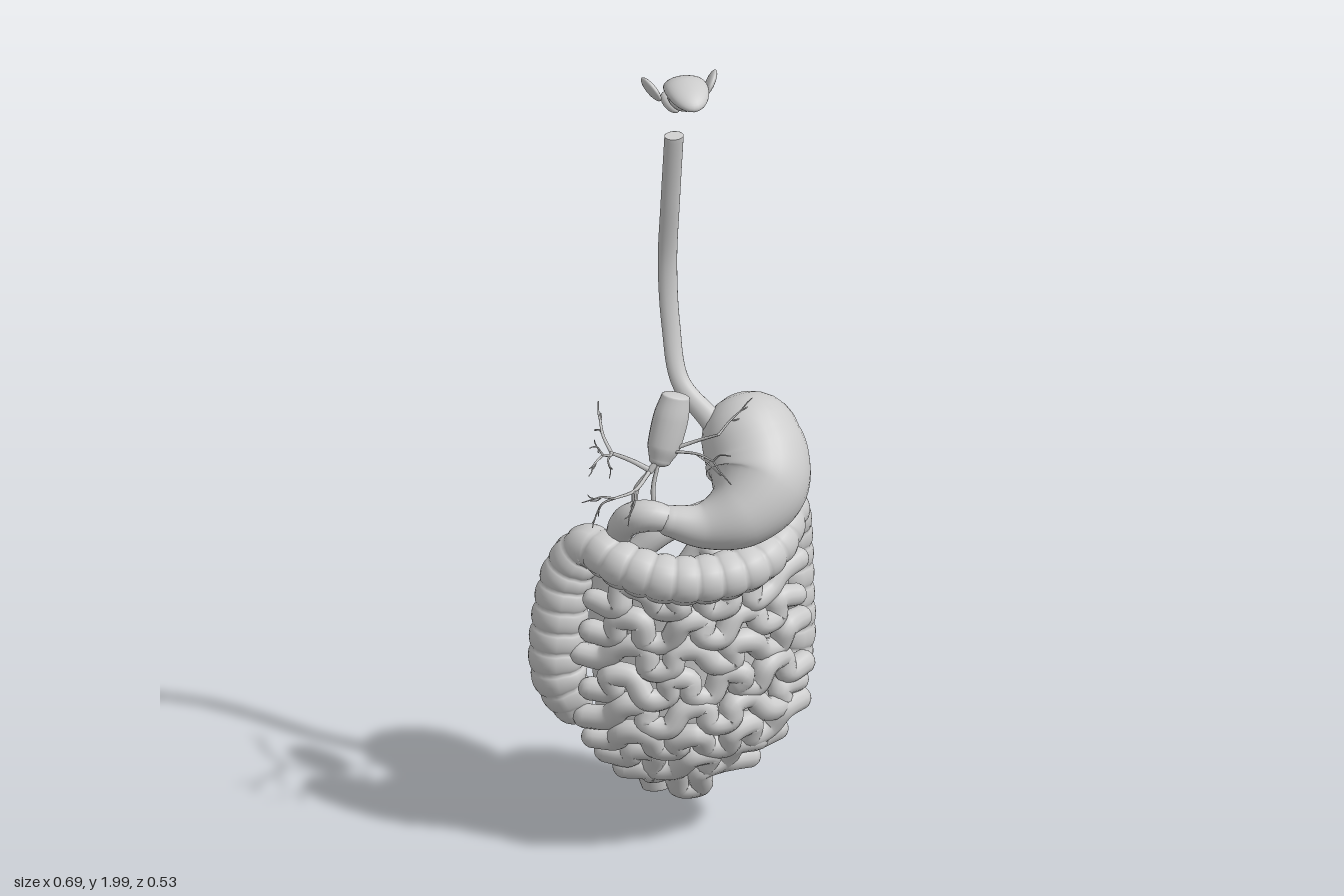
import * as THREE from 'three';

const material = new THREE.MeshStandardMaterial({ color: 0xcccccc });
const sheetMaterial = new THREE.MeshStandardMaterial({ color: 0xcccccc, side: THREE.DoubleSide });
const V = (x, y, z) => new THREE.Vector3(x, y, z);

let seed = 7;
const random = () => (seed = (seed * 16807) % 2147483647) / 2147483647;
const jitter = (a) => (random() * 2 - 1) * a;

function addMesh(parent, name, geometry, mat = material) {
  const mesh = new THREE.Mesh(geometry, mat);
  mesh.name = name;
  parent.add(mesh);
  return mesh;
}

// Tube through points [x, y, z, radius]; ends bulge by capStart / capEnd (0 flat, 1 round)
function organTube(points, { rings = 60, sides = 16, shape = () => 1, flat = 1, capStart = 1, capEnd = 1 } = {}) {
  const curve = new THREE.CatmullRomCurve3(points.map((p) => V(p[0], p[1], p[2])));
  curve.arcLengthDivisions = 600;
  const radii = new THREE.CatmullRomCurve3(points.map((p) => V(p[3], 0, 0)), false, 'catmullrom');
  const positions = [], index = [];
  let normal = null, count = 0;
  const addRing = (u, shift, scale) => {
    const t = curve.getUtoTmapping(u);
    const tangent = curve.getTangent(t);
    if (!normal) normal = Math.abs(tangent.z) < 0.9 ? V(0, 0, 1) : V(0, 1, 0);
    normal.addScaledVector(tangent, -normal.dot(tangent)).normalize();
    const binormal = tangent.clone().cross(normal);
    const r = radii.getPoint(t).x;
    const centre = curve.getPoint(t).addScaledVector(tangent, shift * r);
    for (let j = 0; j < sides; j++) {
      const a = (j / sides) * Math.PI * 2;
      const rr = r * scale * shape(u, a);
      const o = normal.clone().multiplyScalar(Math.cos(a) * rr).addScaledVector(binormal, Math.sin(a) * rr);
      positions.push(centre.x + o.x, centre.y + o.y, centre.z + o.z * flat);
    }
    count++;
  };
  const steps = 6;
  for (let k = steps; k > 0; k--) {
    const a = (k / steps) * Math.PI / 2;
    addRing(0, -Math.sin(a) * capStart, Math.cos(a));
  }
  for (let i = 0; i <= rings; i++) addRing(i / rings, 0, 1);
  for (let k = 1; k <= steps; k++) {
    const a = (k / steps) * Math.PI / 2;
    addRing(1, Math.sin(a) * capEnd, Math.cos(a));
  }
  for (let i = 0; i < count - 1; i++) {
    for (let j = 0; j < sides; j++) {
      const a = i * sides + j, b = i * sides + ((j + 1) % sides);
      index.push(a, b, a + sides, b, b + sides, a + sides);
    }
  }
  const g = new THREE.BufferGeometry();
  g.setAttribute('position', new THREE.Float32BufferAttribute(positions, 3));
  g.setIndex(index);
  g.computeVertexNormals();
  return g;
}

// Depth of the bowed front on which the small intestine lies
const frontDepth = (x, y) => 0.192 - 0.1 * ((x - 0.03) / 0.24) ** 2 - 0.6 * Math.max(0, 0.34 - y);

function buildMouth() {
  const mouth = new THREE.Group();
  mouth.name = 'mouth';
  const ellipsoid = (name, size, position, rotation = [0, 0, 0]) => {
    const mesh = addMesh(mouth, name, new THREE.SphereGeometry(1, 20, 14).scale(...size));
    mesh.position.set(...position);
    mesh.rotation.set(...rotation);
  };
  // Tongue: an ellipsoid bent down toward the back
  const tongue = new THREE.SphereGeometry(1, 32, 20).scale(0.051, 0.027, 0.084);
  const p = tongue.attributes.position;
  for (let i = 0; i < p.count; i++) {
    const z = p.getZ(i);
    p.setY(i, p.getY(i) - (z < 0 ? 6 : 2) * z * z);
  }
  tongue.computeVertexNormals();
  addMesh(mouth, 'tongue', tongue).position.set(0.01, 1.973, 0.1);
  ellipsoid('tongueRoot', [0.038, 0.026, 0.045], [0.01, 1.943, 0.075], [0.4, 0, 0]);
  // Salivary glands, beside and beneath the tongue
  for (const s of [-1, 1]) {
    ellipsoid('sideGland', [0.01, 0.03, 0.036], [0.01 + s * 0.07, 1.953, 0.047], [0.4, -s * 0.45, -s * 0.3]);
    ellipsoid('lowerGland', [0.018, 0.015, 0.034], [0.01 + s * 0.028, 1.922, 0.062], [0.35, -s * 0.3, 0]);
  }
  return mouth;
}

function buildSmallIntestine() {
  const bowel = new THREE.Group();
  bowel.name = 'smallIntestine';
  // Rows of folded coils: [height, left end, right end, lift of both ends]
  const rows = [[0.685, -0.18, 0.24, 0], [0.61, -0.2, 0.255, 0], [0.535, -0.2, 0.262, 0], [0.46, -0.2, 0.265, 0],
    [0.385, -0.195, 0.262, 0], [0.31, -0.18, 0.245, 0.02], [0.24, -0.155, 0.2, 0.045], [0.178, -0.1, 0.13, 0.06]];
  for (const [y0, x0, x1, lift] of rows) {
    const loops = Math.round((x1 - x0) / 0.062);
    const path = [];
    for (let i = 0; i <= loops; i++) {
      const u = (i / loops) * 2 - 1;
      const up = i % 2 ? 1 : -1;
      const lean = up * 0.012 * Math.sin(i * 0.7 + y0 * 50);
      for (const s of [-1, 1]) {
        const x = x0 + (x1 - x0) * (i / loops) + lean + s * 0.024;
        const y = y0 + lift * u * u + up * (0.021 + jitter(0.007)) + jitter(0.005);
        path.push([x, y, frontDepth(x, y) + jitter(0.008), 0.028 + jitter(0.002)]);
      }
    }
    addMesh(bowel, 'coils', organTube(path, { rings: 180, sides: 12 }));
  }
  // Sheet behind the coils, its lower edge sweeping backward to a point
  const sheet = new THREE.PlaneGeometry(1, 1, 28, 28);
  const p = sheet.attributes.position;
  for (let i = 0; i < p.count; i++) {
    const u = p.getX(i) * 2, v = 0.5 - p.getY(i);
    const fold = THREE.MathUtils.smoothstep(v, 0.6, 1.15) / THREE.MathUtils.smoothstep(1, 0.6, 1.15);
    const y = 0.77 - 0.51 * Math.sin(Math.min(v / 0.85, 1) * Math.PI / 2) ** 1.2;
    const x = 0.03 + u * 0.24 * (1 - 0.25 * v * v) * (1 - 0.3 * fold) - 0.06 * fold;
    p.setXYZ(i, x, y, THREE.MathUtils.lerp(frontDepth(x, y) - 0.045, -0.15 + 0.15 * Math.abs(u), fold));
  }
  sheet.computeVertexNormals();
  addMesh(bowel, 'mesentery', sheet, sheetMaterial);
  return bowel;
}

function buildBileDucts() {
  const ducts = new THREE.Group();
  ducts.name = 'bileDucts';
  // Each duct bends slightly on its way and forks at its tip
  const branch = (from, to, r, depth) => {
    const dir = to.clone().sub(from), len = dir.length();
    const mid = from.clone().lerp(to, 0.5).add(V(jitter(len * 0.12), jitter(len * 0.12), jitter(len * 0.12)));
    const points = [from, mid, to].map((q, i) => [q.x, q.y, q.z, r * (1 - i * 0.2)]);
    addMesh(ducts, 'duct', organTube(points, { rings: 8, sides: 6 }));
    if (!depth) return;
    for (const [start, s] of [[mid, -1], [to, 1], [to, -1]]) {
      const d = dir.clone().normalize().add(V(jitter(0.4), s * 0.6, jitter(0.7))).normalize();
      branch(start, start.clone().addScaledVector(d, len * 0.5), r * 0.6, depth - 1);
    }
  };
  const hub = V(-0.07, 0.98, 0.08);
  branch(V(-0.1, 0.84, 0.07), hub, 0.009, 0);
  branch(V(-0.06, 0.86, 0.09), V(-0.05, 1.0, 0.08), 0.007, 0);
  branch(hub, V(-0.03, 1.02, 0.07), 0.008, 0);
  branch(hub, V(-0.15, 1.01, 0.03), 0.007, 0);
  branch(V(-0.15, 1.01, 0.03), V(-0.19, 1.05, 0.11), 0.005, 2);
  branch(V(-0.15, 1.01, 0.03), V(-0.155, 1.05, -0.06), 0.005, 1);
  branch(hub, V(-0.17, 0.95, 0.14), 0.005, 2);
  branch(V(-0.03, 1.02, 0.07), V(0.08, 1.08, 0.13), 0.005, 0);
  branch(V(0.08, 1.08, 0.13), V(0.14, 1.12, 0.1), 0.003, 1);
  branch(V(-0.03, 1.02, 0.07), V(0.05, 1.05, 0.2), 0.004, 1);
  return ducts;
}

export function createModel() {
  const model = new THREE.Group();
  model.name = 'digestiveSystem';
  model.add(buildMouth());

  addMesh(model, 'esophagus', organTube([[0.013, 1.785, -0.03, 0.023], [0.013, 1.6, -0.066, 0.023],
    [0.013, 1.42, -0.094, 0.023], [0.017, 1.27, -0.078, 0.022], [0.03, 1.14, -0.035, 0.022],
    [0.09, 1.06, 0.02, 0.028]], { flat: 0.62, capStart: 0 }));

  addMesh(model, 'stomach', organTube([[0.178, 1.01, 0.047, 0.116], [0.184, 0.975, 0.08, 0.121],
    [0.172, 0.93, 0.122, 0.117], [0.115, 0.888, 0.163, 0.087], [0.035, 0.87, 0.17, 0.055],
    [-0.04, 0.885, 0.16, 0.037]], { sides: 32, rings: 50 }));

  addMesh(model, 'duodenum', organTube([[-0.03, 0.885, 0.16, 0.028], [-0.09, 0.9, 0.15, 0.037],
    [-0.13, 0.88, 0.12, 0.037], [-0.145, 0.82, 0.08, 0.03], [-0.13, 0.74, 0.06, 0.028],
    [-0.07, 0.69, 0.05, 0.027], [0.01, 0.7, 0.05, 0.026], [0.06, 0.76, 0.06, 0.025], [0.1, 0.72, 0.12, 0.024]]));

  addMesh(model, 'pancreas', organTube([[-0.1, 0.77, 0.07, 0.03], [-0.04, 0.82, 0.08, 0.032],
    [0.06, 0.85, 0.07, 0.028], [0.2, 0.87, 0.01, 0.02]]));

  addMesh(model, 'gallbladder', organTube([[-0.002, 1.15, 0.05, 0.034], [-0.015, 1.1, 0.055, 0.042],
    [-0.035, 1.03, 0.065, 0.039], [-0.045, 1.0, 0.07, 0.027]], { capStart: 0.2, capEnd: 0.6, flat: 0.8 }));

  model.add(buildBileDucts(), buildSmallIntestine());

  // Large intestine: ringed pouches with three lengthwise grooves
  const pouches = (u, a) => 0.9 + 0.11 * Math.abs(Math.sin(Math.PI * 33 * u)) ** 0.6
    - 0.06 * Math.max(0, Math.cos(3 * a)) ** 8;
  addMesh(model, 'colon', organTube([[-0.245, 0.375, 0.03, 0.054], [-0.275, 0.46, 0.025, 0.066],
    [-0.27, 0.6, 0.02, 0.066], [-0.245, 0.72, 0.02, 0.062], [-0.21, 0.785, 0.05, 0.053],
    [-0.15, 0.77, 0.13, 0.056], [-0.06, 0.75, 0.185, 0.058], [0.05, 0.745, 0.197, 0.058],
    [0.15, 0.757, 0.175, 0.056], [0.225, 0.785, 0.115, 0.052], [0.266, 0.82, 0.045, 0.05],
    [0.28, 0.75, 0.005, 0.052], [0.283, 0.6, 0.0, 0.055], [0.283, 0.47, 0.003, 0.056],
    [0.26, 0.37, 0.01, 0.055], [0.21, 0.3, 0.0, 0.055], [0.15, 0.275, -0.05, 0.056]],
  { rings: 330, sides: 24, shape: pouches }));

  addMesh(model, 'sigmoidAndRectum', organTube([[0.17, 0.28, -0.03, 0.055], [0.1, 0.272, -0.09, 0.061],
    [0.045, 0.272, -0.15, 0.068], [0.025, 0.225, -0.19, 0.068], [0.012, 0.16, -0.205, 0.058],
    [0.005, 0.1, -0.205, 0.046], [0.008, 0.05, -0.193, 0.042], [0.01, 0.016, -0.188, 0.034]],
  { sides: 24, capEnd: 0.2 }));

  return model;
}
